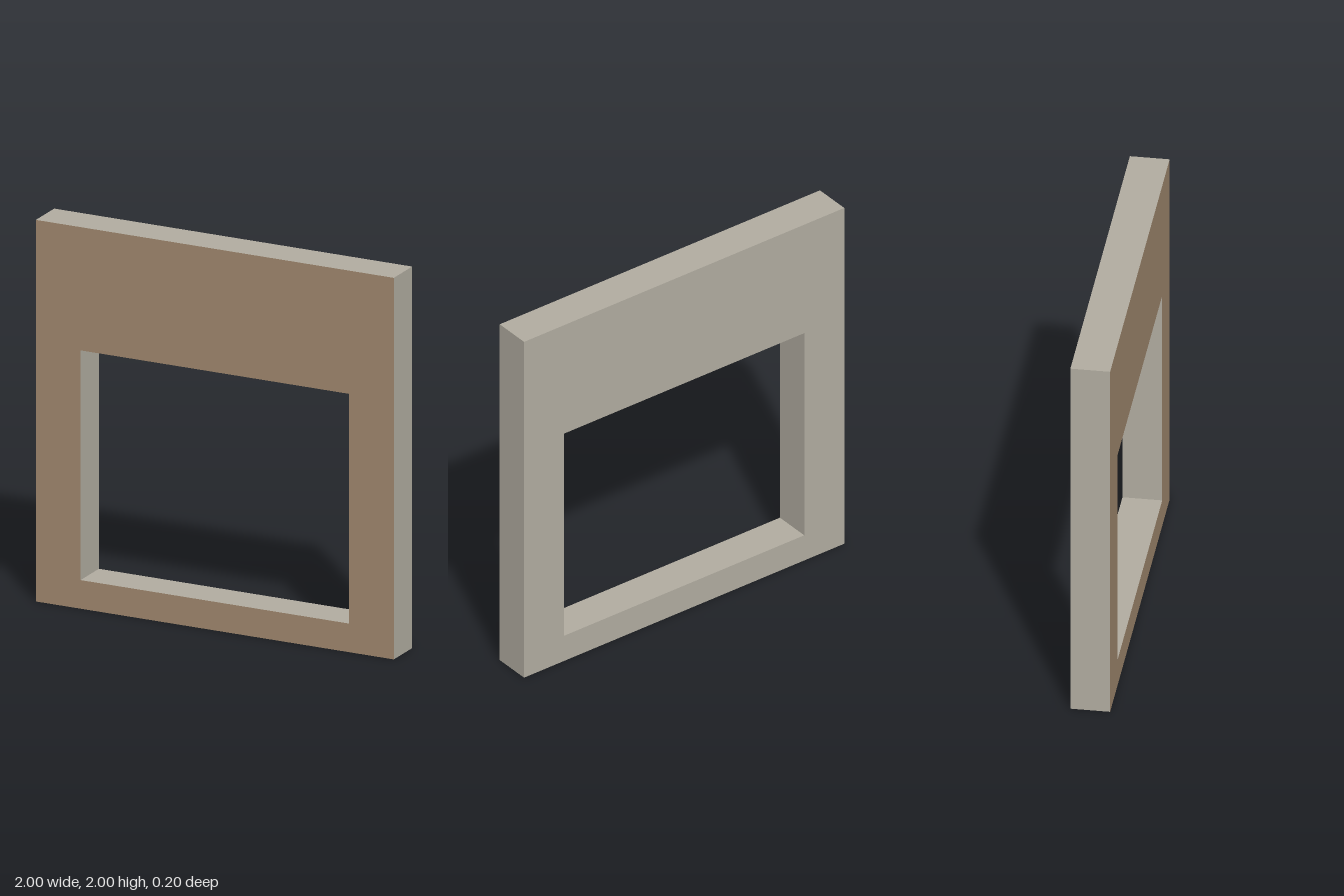
import * as THREE from 'three';

// Rectangle outline added to a shape or hole path
function rect(path, x0, y0, x1, y1) {
  path.moveTo(x0, y0);
  path.lineTo(x1, y0);
  path.lineTo(x1, y1);
  path.lineTo(x0, y1);
  path.closePath();
  return path;
}

export function createModel() {
  const group = new THREE.Group();
  group.name = 'windowWall';

  const stone = new THREE.MeshStandardMaterial({ color: 0xb1aca0 });
  const brown = new THREE.MeshStandardMaterial({ color: 0xa0886e });

  // Wall slab with a window opening
  const depth = 0.2;
  const outline = rect(new THREE.Shape(), -1, 0, 1, 2);
  outline.holes.push(rect(new THREE.Path(), -0.75, 0.15, 0.75, 1.354));
  const geometry = new THREE.ExtrudeGeometry(outline, { depth, bevelEnabled: false });
  geometry.translate(0, 0, -depth / 2);

  // Back cap and sides are stone, the front cap is brown
  const [caps, sides] = geometry.groups;
  const half = caps.count / 2;
  geometry.clearGroups();
  geometry.addGroup(caps.start, half, 0);
  geometry.addGroup(caps.start + half, half, 1);
  geometry.addGroup(sides.start, sides.count, 0);

  const wall = new THREE.Mesh(geometry, [stone, brown]);
  wall.name = 'wallPanel';
  group.add(wall);
  return group;
}
